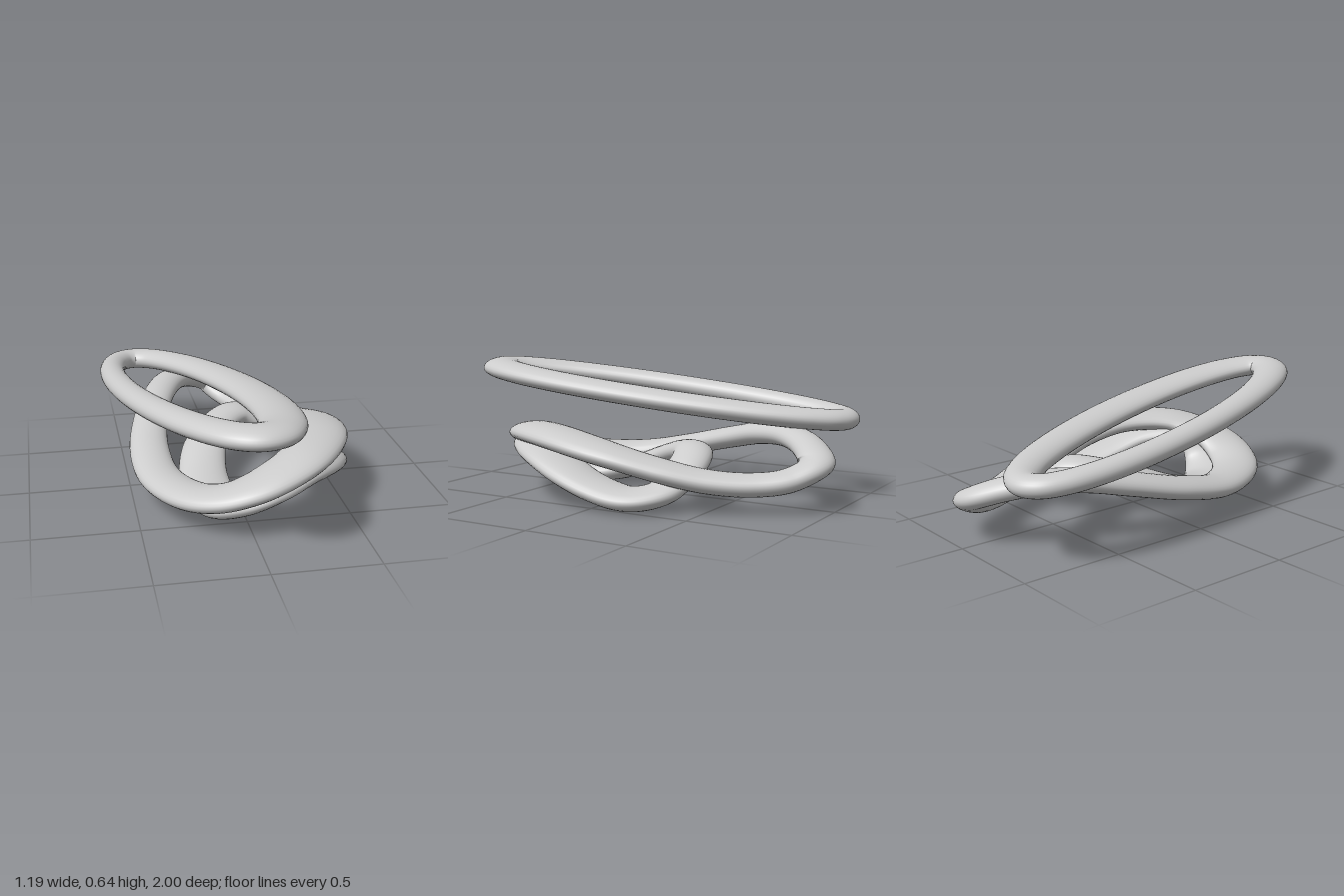
import * as THREE from 'three';

// Closed tube with a flat oval section, swept through [x, y, z, halfWidth] stations.
function ovalLoop(name, stations, halfHeight) {
  const path = new THREE.CatmullRomCurve3(
    stations.map(([x, y, z]) => new THREE.Vector3(x, y, z)), true, 'centripetal');
  const widths = new THREE.CatmullRomCurve3(
    stations.map(([, , , w]) => new THREE.Vector3(w, 0, 0)), true, 'catmullrom', 0.5);
  const rings = 180, sides = 28;
  const up = new THREE.Vector3(0, 1, 0);
  const position = [], index = [];
  for (let i = 0; i < rings; i++) {
    const u = i / rings;
    const centre = path.getPoint(u);
    const along = path.getTangent(u);
    const side = up.clone().cross(along).normalize();
    const normal = along.clone().cross(side);
    const w = widths.getPoint(u).x;
    for (let j = 0; j < sides; j++) {
      const v = (j / sides) * Math.PI * 2;
      const p = centre.clone()
        .addScaledVector(side, w * Math.cos(v))
        .addScaledVector(normal, halfHeight * Math.sin(v));
      position.push(p.x, p.y, p.z);
      const i2 = (i + 1) % rings, j2 = (j + 1) % sides;
      const a = i * sides + j, b = i * sides + j2, c = i2 * sides + j, d = i2 * sides + j2;
      index.push(a, b, c, b, d, c);
    }
  }
  const geometry = new THREE.BufferGeometry();
  geometry.setAttribute('position', new THREE.Float32BufferAttribute(position, 3));
  geometry.setIndex(index);
  geometry.computeVertexNormals();
  const mesh = new THREE.Mesh(geometry, new THREE.MeshStandardMaterial({ color: 0xcccccc }));
  mesh.name = name;
  return mesh;
}

export function createModel() {
  const group = new THREE.Group();
  group.name = 'stackedLoops';

  // Flat, tilted ellipse on top, wider towards the front right
  const top = [];
  for (let k = 0; k < 24; k++) {
    const t = (k / 24) * Math.PI * 2, c = Math.cos(t), s = Math.sin(t);
    const z = -0.897 * c;
    top.push([-0.2 - 0.177 * c + 0.277 * s, 0.485 + 0.118 * z, z, 0.087 - 0.013 * c + 0.018 * s]);
  }
  group.add(ovalLoop('upperLoop', top, 0.052));

  // Large saddle-shaped loop in the middle
  group.add(ovalLoop('middleLoop', [
    [0.03, 0.215, -0.912, 0.088], [0.135, 0.155, -0.83, 0.088],
    [0.22, 0.134, -0.69, 0.09], [0.313, 0.147, -0.5, 0.098],
    [0.39, 0.193, -0.29, 0.115], [0.447, 0.26, -0.02, 0.132],
    [0.41, 0.303, 0.25, 0.132], [0.27, 0.298, 0.485, 0.13],
    [0.13, 0.26, 0.577, 0.128], [0.0, 0.215, 0.603, 0.128],
    [-0.13, 0.168, 0.57, 0.122], [-0.25, 0.14, 0.47, 0.115],
    [-0.37, 0.137, 0.23, 0.105], [-0.395, 0.185, -0.03, 0.098],
    [-0.35, 0.252, -0.31, 0.088], [-0.285, 0.295, -0.51, 0.084],
    [-0.2, 0.304, -0.69, 0.084], [-0.09, 0.27, -0.835, 0.085],
  ], 0.055));

  // Small saddle-shaped loop underneath
  group.add(ovalLoop('lowerLoop', [
    [0.21, 0.185, -0.345, 0.10], [0.29, 0.135, -0.335, 0.10],
    [0.38, 0.08, -0.29, 0.115], [0.446, 0.056, -0.18, 0.13],
    [0.461, 0.085, -0.02, 0.132], [0.44, 0.145, 0.16, 0.132],
    [0.36, 0.215, 0.36, 0.13], [0.22, 0.235, 0.50, 0.13],
    [0.11, 0.195, 0.55, 0.13], [0.01, 0.13, 0.535, 0.13],
    [-0.09, 0.068, 0.44, 0.13], [-0.14, 0.06, 0.30, 0.128],
    [-0.15, 0.095, 0.14, 0.12], [-0.11, 0.165, -0.05, 0.11],
    [-0.01, 0.22, -0.22, 0.095], [0.10, 0.23, -0.32, 0.095],
  ], 0.055));

  return group;
}
